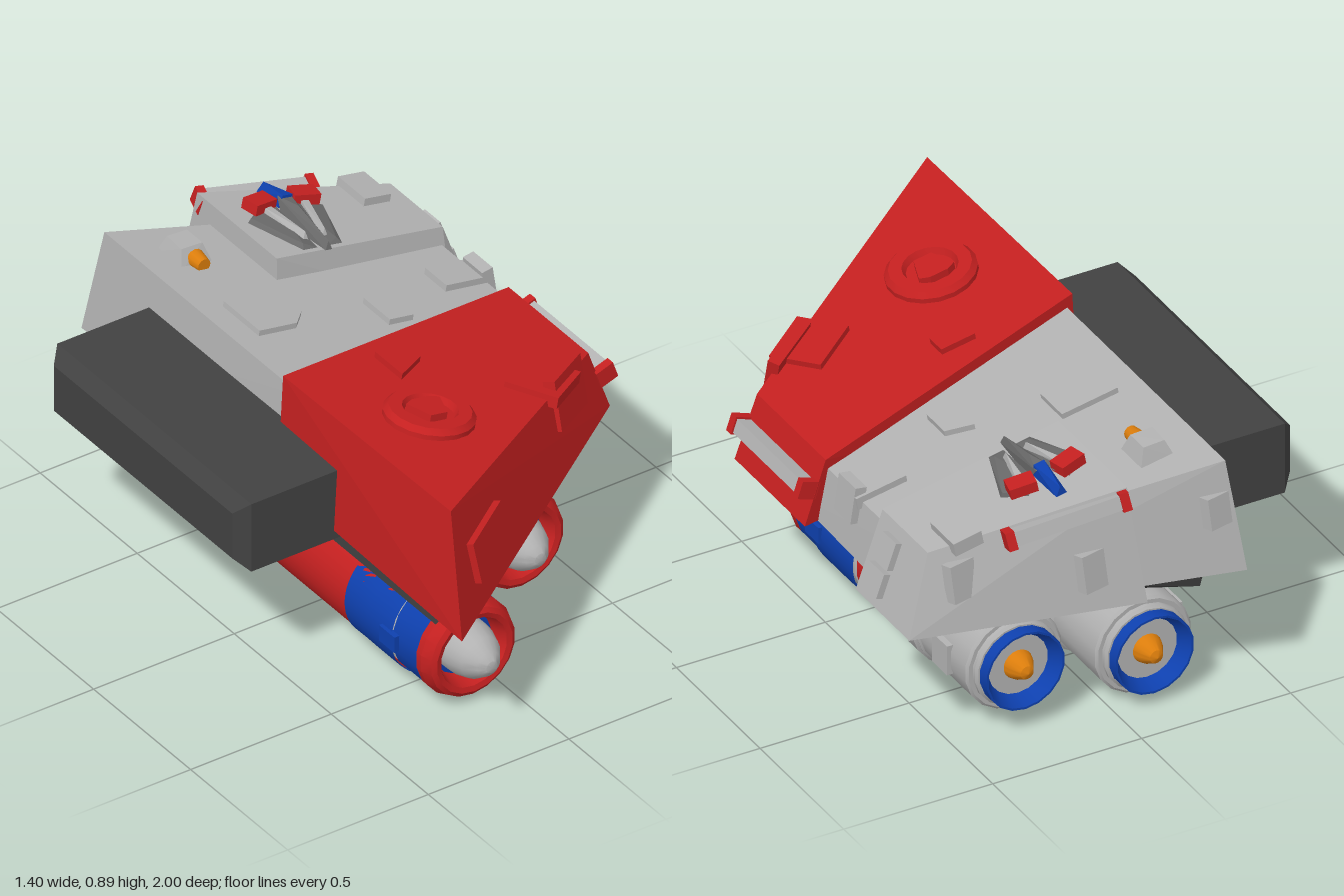
import * as THREE from 'three';
import { toCreasedNormals } from 'three/addons/utils/BufferGeometryUtils.js';
import { ConvexGeometry } from 'three/addons/geometries/ConvexGeometry.js';
import { ParametricGeometry } from 'three/addons/geometries/ParametricGeometry.js';

const material = (name, color, side = THREE.FrontSide) => {
  const m = new THREE.MeshStandardMaterial({ color, side });
  m.name = name;
  return m;
};

export function createModel() {
  const root = new THREE.Group();
  root.name = 'twinEngineShip';
  const red = material('red', 0xc42020, THREE.DoubleSide);
  const grey = material('lightGrey', 0xb2b2b2);
  const dark = material('darkGrey', 0x424242);
  const steel = material('midGrey', 0x686868);
  const blue = material('blue', 0x0e40ae, THREE.DoubleSide);
  const orange = material('orange', 0xdb7d0c);
  const V = (a) => new THREE.Vector3(...a);

  const add = (geo, mat, name, parent = root) => {
    const mesh = new THREE.Mesh(geo, mat);
    mesh.name = name;
    parent.add(mesh);
    return mesh;
  };
  const solid = (pts, mat, name, parent) => add(new ConvexGeometry(pts.map(V)), mat, name, parent);

  // Set an object on a surface: local x runs along u, local z along the normal
  const put = (obj, origin, u, n) => {
    const z = V(n).normalize();
    const y = z.clone().cross(V(u)).normalize();
    obj.matrixAutoUpdate = true;
    obj.quaternion.setFromRotationMatrix(new THREE.Matrix4().makeBasis(y.clone().cross(z), y, z));
    obj.position.copy(V(origin));
    return obj;
  };
  const plateGeo = (pts, depth) => {
    const geo = new THREE.ExtrudeGeometry(new THREE.Shape(pts.map((p) => new THREE.Vector2(...p))),
      { depth: depth + 0.02, bevelEnabled: false });
    return geo.translate(0, 0, -0.02);
  };
  const rect = (w, h) => [[-w / 2, -h / 2], [w / 2, -h / 2], [w / 2, h / 2], [-w / 2, h / 2]];
  const clipped = (w, h, c) => [[-w / 2, -h / 2], [w / 2 - c, -h / 2], [w / 2, -h / 2 + c],
    [w / 2, h / 2], [-w / 2, h / 2]];
  const plate = (pts, depth, mat, name, o, u, n) => put(add(plateGeo(pts, depth), mat, name), o, u, n);

  // Main hull sections
  solid([[-0.33, 0.87, 0.87], [0.6, 0.7, 0.23], [0.6, 0.7, -0.18], [-0.34, 0.87, 0.02],
    [-0.38, 0.5, 1], [0.67, 0.49, 0.24], [0.67, 0.49, -0.18], [-0.36, 0.5, 0.02]], red, 'frontHull');
  solid([[-0.32, 0.83, -0.93], [0.59, 0.665, -0.72], [0.59, 0.665, 0], [-0.32, 0.83, 0.1],
    [-0.36, 0.47, -0.99], [0.62, 0.47, -0.76], [0.62, 0.495, 0], [-0.35, 0.495, 0.1]], grey, 'rearHull');
  solid([[0.01, 0.84, -0.93], [0.6, 0.72, -0.79], [0.6, 0.72, -0.52], [0.01, 0.84, -0.52],
    [-0.02, 0.47, -1], [0.69, 0.47, -0.84], [0.69, 0.47, -0.52], [0.6, 0.47, -0.47],
    [-0.02, 0.47, -0.47]], grey, 'raisedDeck');
  solid([[-0.28, 0.5, 0.82], [0.53, 0.5, 0.2], [0.53, 0.5, -0.65], [-0.28, 0.5, -0.9],
    [-0.28, 0.36, 0.72], [0.5, 0.435, 0.15], [0.5, 0.435, -0.6], [-0.28, 0.36, -0.85]], dark, 'belly');
  const pod = [];
  for (const y of [0.47, 0.71]) for (const z of [-0.68, 0.32]) {
    const sy = y < 0.6 ? 1 : -1, sz = z < 0 ? 1 : -1;
    pod.push([-0.3, y, z], [-0.66, y, z], [-0.7, y + 0.04 * sy, z + 0.04 * sz]);
  }
  solid(pod, dark, 'sidePod');

  // Belly bracket and engine pylon
  const bracket = plateGeo([[-0.04, 0.35], [0.47, 0.395], [0.55, 0.435], [0.55, 0.5], [-0.04, 0.5]], 0.28);
  add(bracket, grey, 'bellyBracket').position.z = -0.37;
  solid([[-0.24, 0.3, -0.36], [-0.24, 0.37, -0.36], [0.38, 0.39, -0.36], [0.38, 0.3, -0.36], [0.08, 0.18, -0.36],
    [-0.24, 0.3, -0.12], [-0.24, 0.37, -0.12], [0.38, 0.39, -0.12], [0.38, 0.3, -0.12], [0.08, 0.18, -0.12]],
  blue, 'enginePylon');

  // Engines: lathed about z, offsets measured from the nose ring
  const lathe = (pts, mat, name, parent) => {
    const geo = new THREE.LatheGeometry(pts.map((p) => new THREE.Vector2(...p)), 18).rotateX(Math.PI / 2);
    return add(toCreasedNormals(geo, 0.5), mat, name, parent);
  };
  const tube = (r, z0, z1, mat, name, parent) =>
    lathe([[0, z0], [r - 0.008, z0], [r, z0 + 0.008], [r, z1 - 0.008], [r - 0.008, z1], [0, z1]], mat, name, parent);
  const engine = (name, x, y, front, side, redStart, redEnd, tail) => {
    const g = new THREE.Group();
    g.name = name;
    g.position.set(x, y, 0);
    root.add(g);
    const R = 0.162;
    lathe([[0.1, front - 0.07], [R, front - 0.07], [0.163, front - 0.045], [0.15, front - 0.01],
      [0.135, front], [0.118, front - 0.005], [0.11, front - 0.03], [0.1, front - 0.07]], red, 'noseRing', g);
    lathe([[0.112, front - 0.02], [0.1, front - 0.06], [0, front - 0.06]].reverse(), dark, 'noseRecess', g);
    lathe([[0.088, front - 0.06], [0.085, front - 0.02], [0.07, front + 0.03], [0.042, front + 0.07],
      [0.02, front + 0.088], [0, front + 0.092]], grey, 'noseCone', g);
    tube(R, front - 0.2, front - 0.065, blue, 'blueBand', g);
    tube(R - 0.002, redStart, front - 0.2, grey, 'midTube', g);
    tube(R - 0.002, redEnd, redStart, red, 'redBand', g);
    // Outer side panels wrap part of the tube
    const wrap = (z0, z1, half0, half1, r, mat, label) => add(new ParametricGeometry((u, v, t) => {
      const a = (2 * u - 1) * (half0 + (half1 - half0) * v);
      t.set(side * r * Math.cos(a), r * Math.sin(a), z0 + (z1 - z0) * v);
    }, 14, 2), mat, label, g);
    wrap(front - 0.19, front - 0.43, 1.55, 0.75, R + 0.005, blue, 'blueSidePanel');
    if (redStart < front - 0.43) wrap(front - 0.2, redStart, 1.4, 1.4, R + 0.002, red, 'redSidePanel');
    // Rear housing, bell and exhaust
    tube(0.163, tail, redEnd, grey, 'rearHousing', g);
    tube(0.176, redEnd - 0.07, redEnd, grey, 'frontCollar', g);
    tube(0.169, redEnd - 0.09, redEnd - 0.07, grey, 'collarStep', g);
    tube(0.142, tail - 0.02, tail + 0.01, grey, 'rearCollar', g);
    lathe([[0.05, tail + 0.005], [0.1, tail - 0.02], [0.125, tail - 0.065], [0.132, tail - 0.065],
      [0.132, tail - 0.025], [0.11, tail], [0.05, tail + 0.005]], blue, 'exhaustBell', g);
    lathe([[0, tail - 0.085], [0.022, tail - 0.075], [0.042, tail - 0.04], [0.05, tail - 0.015],
      [0.045, tail + 0.01]], orange, 'exhaustCone', g);
    plateBox(g, [0.12, 0.03, 0.42], [0.01 * side, -R + 0.005, -0.01], grey, 'undersidePlate');
    plateBox(g, [0.02, 0.1, 0.09], [side * (R + 0.002), 0, (redEnd - 0.09 + tail) / 2], grey, 'housingHatch');
    plateBox(g, [0.02, 0.055, 0.08], [side * (R + 0.004), 0.005, front - 0.2], blue, 'blueHatch');
  };
  function plateBox(parent, size, pos, mat, name) {
    add(new THREE.BoxGeometry(...size), mat, name, parent).position.set(...pos);
  }
  engine('rightSideEngine', -0.12, 0.178, 0.69, -1, -0.16, -0.46, -0.8);
  engine('leftSideEngine', 0.28, 0.215, 0.36, 1, -0.07, -0.37, -0.74);

  // Red hull details
  const redTop = (x) => 0.87 - 0.182 * (x + 0.33);
  const slope = [1, -0.182, 0], up = [0.182, 1, 0];
  const along = [1.05, 0, -0.76], faceN = [0.281, 0.0985, 0.389];
  plate([[-0.15, -0.065], [0.15, -0.065], [0.15, 0.03], [0.09, 0.07], [-0.15, 0.07]], 0.022, red,
    'frontPanel', [-0.14, 0.655, 0.786], along, faceN);
  plate(rect(0.21, 0.16), 0.018, red, 'cornerPanelFront', [0.435, 0.695, 0.352], [0.82, -0.15, -0.57], faceN);
  plate(rect(0.19, 0.17), 0.018, red, 'cornerPanelTop', [0.37, redTop(0.37), 0.325], [0.82, -0.15, -0.57], up);
  plate([[-0.06, -0.07], [0.055, 0], [0.055, 0.07], [-0.06, 0.07]], 0.018, red, 'topPanel',
    [0.04, redTop(0.04), 0.095], slope, up);
  const hatch = put(new THREE.Group(), [-0.07, redTop(-0.07), 0.38], slope, up);
  hatch.name = 'roundHatch';
  root.add(hatch);
  lathe([[0.14, -0.02], [0.14, 0.015], [0.125, 0.032], [0.085, 0.032], [0.075, 0.012], [0, 0.012]],
    red, 'hatchRim', hatch);
  const hub = [[-0.06, 0.04], [-0.03, -0.045], [0.03, -0.045], [0.06, 0.04], [0.03, 0.055], [-0.03, 0.055]];
  add(plateGeo(hub, 0.036), red, 'hatchHub', hatch);

  // Capped rails
  const rail = (name, mid, u, n, len) => {
    const g = put(new THREE.Group(), mid, u, n);
    g.name = name;
    root.add(g);
    plateBox(g, [len, 0.045, 0.05], [0, 0, 0], grey, 'railBar');
    for (const s of [-1, 1]) plateBox(g, [0.028, 0.058, 0.062], [s * len / 2, 0, 0], red, 'railCap');
  };
  rail('sideRail', [0.655, 0.61, 0.035], [0, 0, -1], [0.95, 0.32, 0], 0.4);
  rail('rearRail', [0.2, 0.775, -0.905], [-0.36, 0.07, -0.085], [0.22, 0.3, -1], 0.36);

  // Grey hull details
  const greyTop = (x) => 0.83 - 0.18 * (x + 0.32);
  plate(clipped(0.19, 0.185, 0.055), 0.018, grey, 'clippedDeckPanel', [-0.145, greyTop(-0.145), -0.345], slope, up);
  plate([[-0.043, -0.065], [0.043, -0.065], [0.043, 0.04], [-0.043, 0.07]], 0.018, grey, 'smallDeckPanel',
    [0.21, greyTop(0.21), -0.235], slope, up);
  plate(rect(0.17, 0.11), 0.02, grey, 'edgePanelTop', [0.525, greyTop(0.525), -0.33], slope, up);
  plate(rect(0.1, 0.12), 0.018, grey, 'edgePanelSide', [0.6, 0.65, -0.325], [0, 0, -1], [1, 0.15, 0]);
  const deckTop = (x) => 0.842 - 0.203 * x;
  plate(rect(0.095, 0.14), 0.025, grey, 'raisedPanel', [0.49, deckTop(0.49), -0.77], [1, -0.203, 0], [0.203, 1, 0]);
  const sideN = [0.25, 0.09, 0];
  plate(rect(0.09, 0.08), 0.02, grey, 'sidePanel', [0.665, 0.545, -0.61], [0, 0, -1], sideN);
  plate(rect(0.08, 0.09), 0.02, grey, 'sideUpperPanel', [0.63, 0.64, -0.62], [0, 0, -1], sideN);
  const backN = [-0.22, 0.19, -1];
  plate(rect(0.1, 0.12), 0.02, grey, 'backPanel', [0.13, 0.6, -0.94], [-1, 0, 0.22], backN);
  plate(rect(0.09, 0.12), 0.02, grey, 'backOuterPanel', [0.52, 0.63, -0.84], [-1, 0, 0.22], backN);
  plate(rect(0.08, 0.1), 0.02, grey, 'backCornerPanel', [-0.28, 0.68, -0.945], [-1, 0, 0.22], backN);
  plate(rect(0.17, 0.08), 0.018, dark, 'bellyPanel', [0.09, 0.44, 0.475], [0.81, 0.06, -0.62], [0.6, -0.5, 0.8]);

  // Deck lamp
  solid([[-0.225, 0.8, -0.8], [-0.11, 0.78, -0.8], [-0.225, 0.8, -0.67], [-0.11, 0.78, -0.67],
    [-0.2, 0.855, -0.78], [-0.13, 0.85, -0.78], [-0.205, 0.855, -0.7], [-0.13, 0.85, -0.7]], grey, 'lampHousing');
  const lamp = add(new THREE.CylinderGeometry(0.022, 0.03, 0.05, 12).rotateX(Math.PI / 2), orange, 'lampLens');
  lamp.position.set(-0.165, 0.815, -0.665);

  // Small docked fighter: local y points aft, local z up
  const jet = put(new THREE.Group(), [0.18, deckTop(0.18), -0.65], [1, -0.203, 0], [0.203, 1, 0]);
  jet.name = 'dockedFighter';
  root.add(jet);
  for (const s of [-1, 1]) {
    solid([[s * 0.02, -0.12, 0.005], [s * 0.07, -0.12, 0.005], [s * 0.138, 0.07, 0.005], [s * 0.07, 0.12, 0.005],
      [s * 0.03, 0.1, 0.035], [s * 0.13, 0.07, 0.02], [s * 0.06, -0.1, 0.015]], steel, 'wing', jet);
    solid([[s * 0.025, -0.08, 0.01], [s * 0.045, -0.08, 0.01], [s * 0.085, 0.08, 0.01], [s * 0.055, 0.08, 0.01],
      [s * 0.035, -0.07, 0.035], [s * 0.08, 0.08, 0.042], [s * 0.055, 0.08, 0.042]], grey, 'wingStripe', jet);
    const fin = add(new THREE.BoxGeometry(0.085, 0.06, 0.035), red, 'tailBlock', jet);
    fin.position.set(s * 0.08, 0.105, 0.042);
    fin.rotation.z = -s * 0.2;
  }
  solid([[-0.012, -0.15, 0.01], [0.012, -0.15, 0.01], [0, -0.14, 0.035], [-0.028, 0.05, 0.005], [0.028, 0.05, 0.005],
    [-0.022, 0.1, 0.06], [0.022, 0.1, 0.06], [0, 0.02, 0.065]], steel, 'fuselage', jet);
  solid([[-0.025, 0.08, 0.03], [0.025, 0.08, 0.03], [-0.018, 0.2, 0.02], [0.018, 0.2, 0.02],
    [-0.018, 0.08, 0.07], [0.018, 0.08, 0.07], [0, 0.2, 0.05]], blue, 'fighterTail', jet);
  return root;
}
